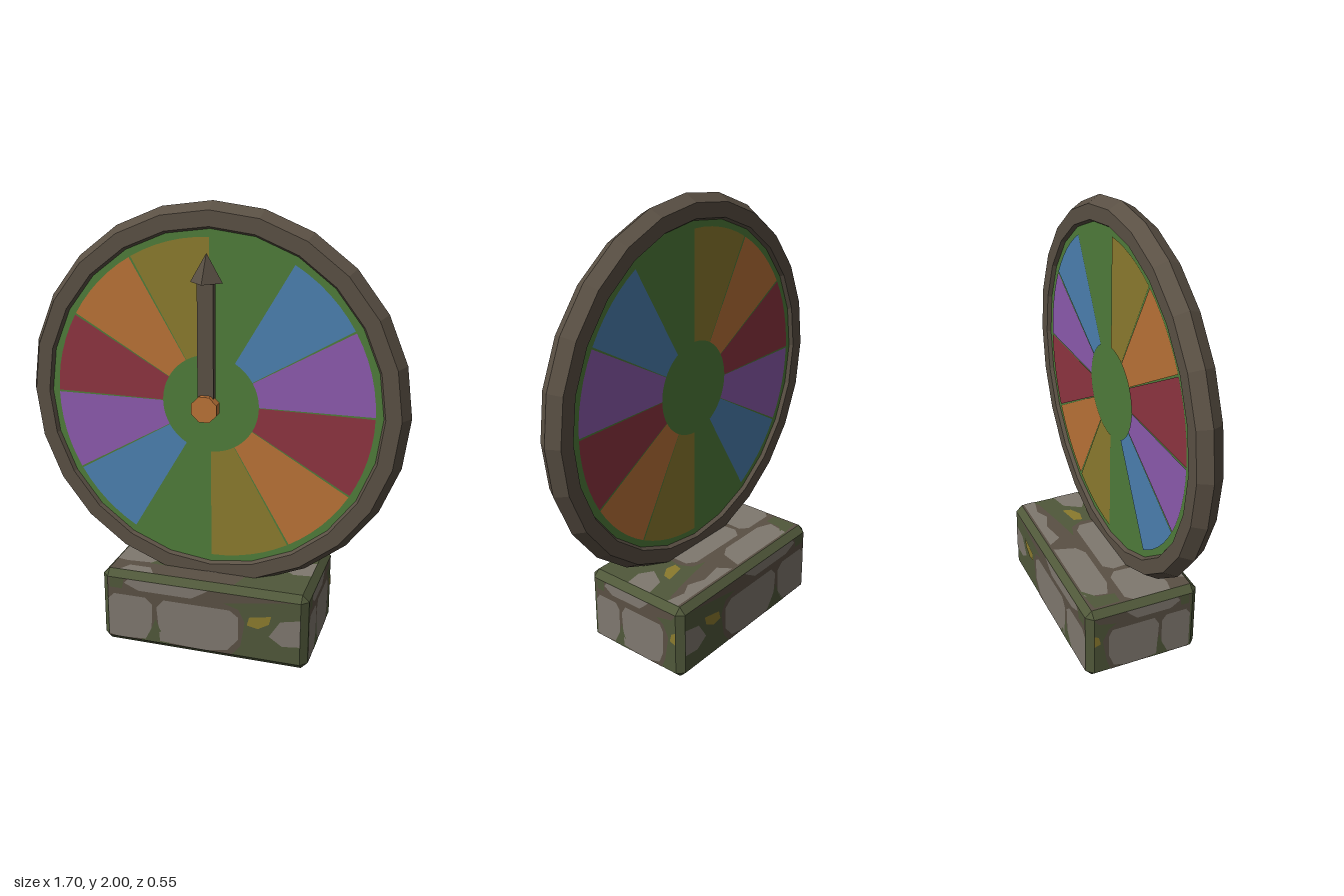
import * as THREE from 'three';
import { ConvexGeometry } from 'three/addons/geometries/ConvexGeometry.js';

const mat = (name, color) => {
  const m = new THREE.MeshStandardMaterial({ color });
  m.name = name;
  return m;
};

export function createModel() {
  const M = {
    frame: mat('dark wood', 0x5a5044),
    green: mat('green', 0x4f7c3a),
    blue: mat('blue', 0x4b80b0),
    purple: mat('purple', 0x8c5aad),
    red: mat('red', 0x8e3440),
    orange: mat('orange', 0xba7237),
    olive: mat('ochre', 0x8b7b2e),
    stone: mat('grey stone', 0x7f786f),
    moss: mat('moss', 0x50583a),
  };
  M.frame.flatShading = true;

  const model = new THREE.Group();
  model.name = 'prizeWheel';
  const add = (parent, name, geometry, material, x = 0, y = 0, z = 0) => {
    const mesh = new THREE.Mesh(geometry, material);
    mesh.name = name;
    mesh.position.set(x, y, z);
    parent.add(mesh);
    return mesh;
  };
  const faceted = (g) => {
    const flat = g.index ? g.toNonIndexed() : g;
    flat.computeVertexNormals();
    return flat;
  };

  // Chamfered stone base
  const W = 0.48, H = 0.18, D = 0.27, C = 0.03;
  const corners = [];
  for (const x of [-1, 1]) for (const y of [-1, 1]) for (const z of [-1, 1]) {
    corners.push(
      new THREE.Vector3(x * W, y * (H - C), z * (D - C)),
      new THREE.Vector3(x * (W - C), y * H, z * (D - C)),
      new THREE.Vector3(x * (W - C), y * (H - C), z * D));
  }
  const base = new THREE.Group();
  base.name = 'base';
  base.position.y = H;
  model.add(base);
  add(base, 'baseBlock', new ConvexGeometry(corners), M.moss);

  // Patches repeated on each face of the base: mortar, stones, moss, ochre lichen
  const patches = [
    ['mortar', M.frame, [[-.45, -.24], [.14, -.24], [.18, -.1], [.2, .02], [.17, .08], [.1, .1], [.22, .12],
      [.42, .16], [.45, .24], [-.45, .24]]],
    ['mossPatch', M.moss, [[-.29, -.15], [-.15, -.15], [-.2, -.08], [-.22, -.03], [-.24, -.08]]],
    ['mossPatch', M.moss, [[-.44, .1], [-.38, .1], [-.37, .18], [-.3, .24], [-.44, .22]]],
    ['stone', M.stone, [[-.45, -.14], [-.4, -.15], [-.27, -.14], [-.24, -.08], [-.235, .04], [-.27, .07],
      [-.42, .07], [-.45, .04]]],
    ['stone', M.stone, [[-.2, -.14], [.02, -.15], [.12, -.13], [.17, -.07], [.17, .04], [.13, .07], [-.18, .07],
      [-.215, .03]]],
    ['stone', M.stone, [[-.37, .13], [-.3, .1], [-.05, .1], [0, .13], [.03, .23], [-.35, .23]]],
    ['stone', M.stone, [[.07, .23], [.11, .17], [.22, .19], [.3, .16], [.36, .19], [.45, .17], [.45, .23]]],
    ['stone', M.stone, [[.31, -.03], [.36, .05], [.45, .07], [.45, -.06], [.37, -.07]]],
    ['stone', M.stone, [[-.4, -.24], [-.37, -.19], [-.27, -.19], [-.24, -.24]]],
    ['lichen', M.olive, [[.21, .01], [.22, .05], [.27, .06], [.32, .07], [.31, .03], [.26, 0]]],
  ];
  const clamp = THREE.MathUtils.clamp;
  // name, rotation x, rotation y, half width, half height, distance, u sign, v sign
  const faces = [
    ['front', 0, 0, W, H, D, 1, 1],
    ['back', 0, Math.PI, W, H, D, -1, 1],
    ['top', -Math.PI / 2, 0, W, D, H, 1, 1],
    ['bottom', Math.PI / 2, 0, W, D, H, 1, -1],
    ['left', 0, Math.PI / 2, D, H, W, 1, 1],
    ['right', 0, -Math.PI / 2, D, H, W, -1, 1],
  ];
  for (const [face, rx, ry, hw, hh, dist, su, sv] of faces) {
    const panel = new THREE.Group();
    panel.name = face + 'Patches';
    panel.rotation.set(rx, ry, 0);
    base.add(panel);
    for (const [name, material, points] of patches) {
      const layer = name === 'mortar' ? 0.001 : name === 'lichen' ? 0.003 : 0.002;
      const pts = points.map(([u, v]) => {
        const squeezed = hw === D && u < 0.17 ? 0.18 - (0.17 - u) * 0.66 : u;
        return new THREE.Vector2(su * clamp(squeezed, C - hw, hw - C), sv * clamp(v, C - hh, hh - C));
      });
      if (Math.abs(THREE.ShapeUtils.area(pts)) < 5e-4) continue;
      add(panel, name, new THREE.ShapeGeometry(new THREE.Shape(pts)), material, 0, 0, dist + layer);
    }
  }

  // Wheel: hexagonal-section rim around a disc
  const wheel = new THREE.Group();
  wheel.name = 'wheel';
  wheel.position.set(0, 1.15, 0.09);
  model.add(wheel);
  add(wheel, 'rim', faceted(new THREE.TorusGeometry(0.784, 0.066, 6, 24)), M.frame);
  add(wheel, 'disc', new THREE.CylinderGeometry(0.745, 0.745, 0.08, 24).rotateX(Math.PI / 2), M.green);

  // Painted wedges, clockwise from the top and alike on both sides; the green ones are bare disc
  const wedgeColors = [null, M.blue, M.purple, M.red, M.orange, M.olive];
  const step = Math.PI / 6, gap = 0.006;
  for (let i = 0; i < 12; i++) {
    const material = wedgeColors[i % 6];
    if (!material) continue;
    const start = Math.PI / 2 - (i + 1) * step;
    add(wheel, 'frontWedge', new THREE.RingGeometry(0.215, 0.708, 6, 1, start + gap, step - 2 * gap),
      material, 0, 0, 0.043);
    const back = add(wheel, 'backWedge',
      new THREE.RingGeometry(0.215, 0.708, 6, 1, Math.PI - start - step + gap, step - 2 * gap),
      material, 0, 0, -0.043);
    back.rotation.y = Math.PI;
  }

  // Pointer: flat shaft, four-sided tip and octagonal hub
  const pointer = new THREE.Group();
  pointer.name = 'pointer';
  model.add(pointer);
  add(pointer, 'shaft', new THREE.BoxGeometry(0.07, 0.54, 0.032), M.frame, 0, 1.425, 0.185);
  add(pointer, 'tip', faceted(new THREE.ConeGeometry(0.07, 0.12, 4)), M.frame, 0, 1.74, 0.18);
  const hub = new THREE.CylinderGeometry(0.06, 0.06, 0.046, 8).rotateY(Math.PI / 8).rotateX(Math.PI / 2);
  add(pointer, 'hub', faceted(hub), M.orange, 0, 1.15, 0.202);

  return model;
}
